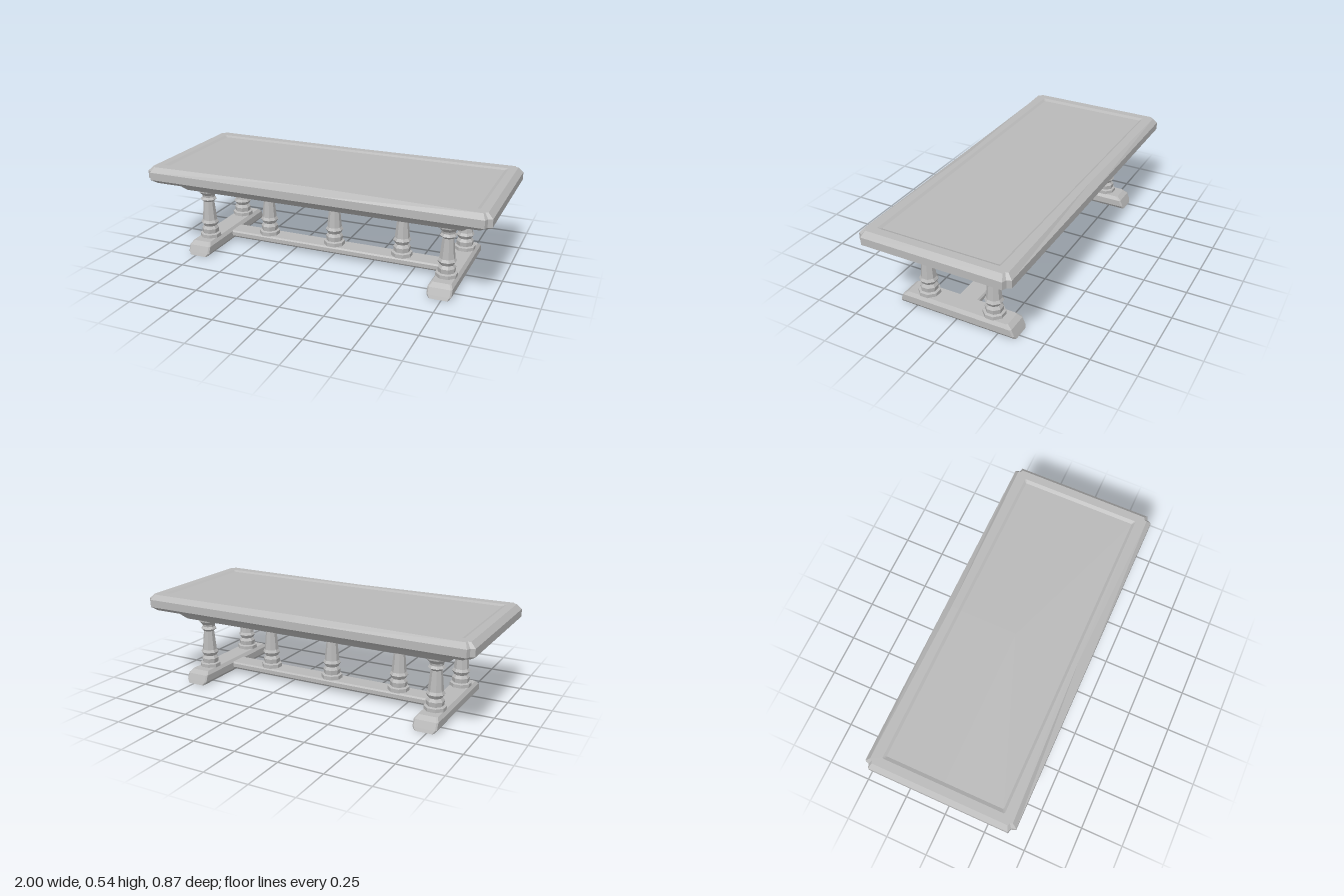
import * as THREE from 'three';

const wood = new THREE.MeshStandardMaterial({ color: 0xb9b9b9, flatShading: true });
wood.name = 'plain grey';

// Stacked rectangular outlines, bottom to top, closed at both ends.
// Layer: y, half width, half depth, corner cut, inward wear at mid long side, lift at mid end.
function layered(name, layers, notch = 0.5) {
  const pos = [], index = [];
  let n = 0;
  for (const [y, hx, hz, c = 0.008, wear = 0, lift = 0] of layers) {
    const k = c * notch;
    const quarter = [[hx, hz - c], [hx - k, hz - k], [hx - c, hz]];
    const flip = (sx, sz) => quarter.map(([x, z]) => [x * sx, z * sz]);
    const ring = [
      [hx, 0, lift], ...flip(1, 1), [0, hz - wear], ...flip(-1, 1).reverse(),
      [-hx, 0, lift], ...flip(-1, -1), [0, -hz + wear * 0.5], ...flip(1, -1).reverse(),
    ];
    n = ring.length;
    ring.forEach(([x, z, dy = 0]) => pos.push(x, y + dy, z));
  }
  const last = (layers.length - 1) * n, bottom = layers.length * n, top = bottom + 1;
  pos.push(0, layers[0][0], 0, 0, layers[layers.length - 1][0], 0);
  for (let i = 0; i < n; i++) {
    const j = (i + 1) % n;
    for (let b = 0; b < last; b += n) {
      index.push(b + i, b + i + n, b + j, b + j, b + i + n, b + j + n);
    }
    index.push(bottom, i, j, top, last + j, last + i);
  }
  const geo = new THREE.BufferGeometry();
  geo.setAttribute('position', new THREE.Float32BufferAttribute(pos, 3));
  geo.setIndex(index);
  geo.computeVertexNormals();
  const mesh = new THREE.Mesh(geo, wood);
  mesh.name = name;
  return mesh;
}

// Turned eight-sided column: half width across flats, height fraction
const turning = [
  [0.057, 0], [0.057, 0.07], [0.044, 0.085], [0.047, 0.17], [0.036, 0.225],
  [0.049, 0.295], [0.04, 0.345], [0.029, 0.72], [0.044, 0.765], [0.034, 0.81],
  [0.036, 0.85], [0.055, 0.92], [0.058, 1],
];
function column(name, x, z, base) {
  const height = 0.385 - base;
  const points = turning.map(([r, t]) => new THREE.Vector2(r / Math.cos(Math.PI / 8), t * height));
  const geo = new THREE.LatheGeometry(points, 8);
  geo.rotateY(Math.PI / 8);
  const mesh = new THREE.Mesh(geo, wood);
  mesh.name = name;
  mesh.position.set(x, base, z);
  return mesh;
}

export function createModel() {
  const table = new THREE.Group();
  table.name = 'table';

  // Top with notched corners, bevelled rim and sunken panel
  table.add(layered('tableTop', [
    [0.445, 0.965, 0.405, 0.025],
    [0.468, 1, 0.435, 0.033],
    [0.512, 1, 0.435, 0.033],
    [0.54, 0.972, 0.41, 0.02, 0.03],
    [0.54, 0.925, 0.352, 0.004],
    [0.531, 0.905, 0.337, 0.004],
  ], 0.72));

  // Apron under the top, with a worn lower bevel
  table.add(layered('apron', [
    [0.38, 0.83, 0.285, 0.008],
    [0.417, 0.87, 0.32, 0.008, 0, -0.016],
    [0.45, 0.87, 0.32, 0.008],
  ]));

  // Feet and their paired columns
  for (const side of [-1, 1]) {
    const label = side > 0 ? 'left' : 'right';
    const foot = layered(label + 'Foot', [
      [0, 0.055, 0.355],
      [0.018, 0.068, 0.348],
      [0.056, 0.068, 0.332],
      [0.076, 0.054, 0.305],
    ]);
    foot.position.x = side * 0.733;
    table.add(foot);
    for (const z of [-0.2, 0.2]) {
      table.add(column(label + (z > 0 ? 'FrontColumn' : 'BackColumn'), side * 0.733, z, 0.074));
    }
  }

  // Stretcher and middle columns
  table.add(layered('stretcher', [
    [0.022, 0.69, 0.054],
    [0.03, 0.69, 0.06],
    [0.052, 0.69, 0.06],
    [0.061, 0.69, 0.053],
  ]));
  [-0.435, -0.005, 0.415].forEach((x, i) => table.add(column('middleColumn' + (i + 1), x, 0, 0.06)));

  return table;
}
